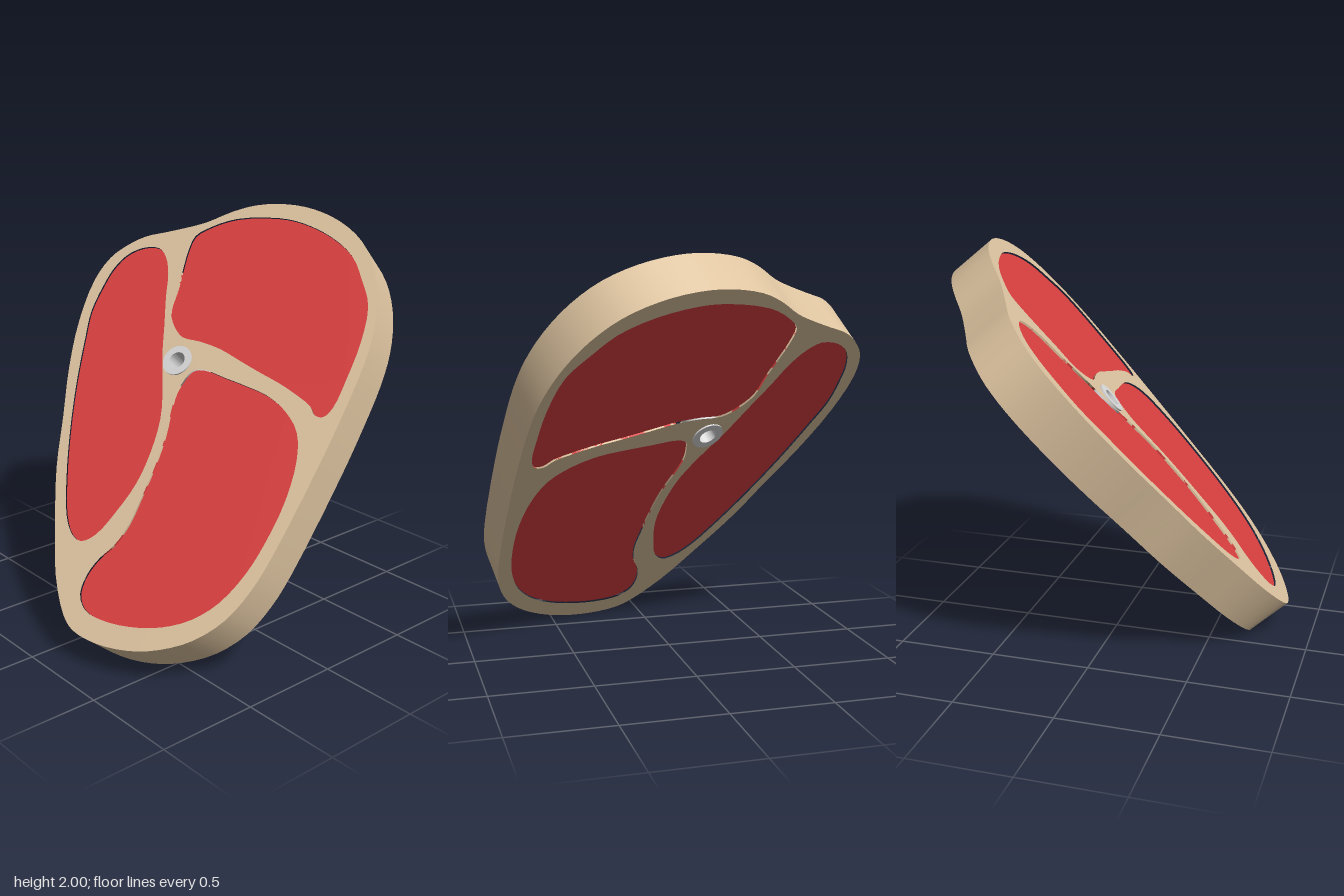
import * as THREE from 'three';
import { toCreasedNormals } from 'three/addons/utils/BufferGeometryUtils.js';

// The slab leans back: outlines are drawn in x/y, then sheared onto its tilted plane
const NORMAL = new THREE.Vector3(0.191, 0.64, 0.744).normalize();
const OFFSET = 0.793;
const THICK = 0.242;

const OUTLINE = [0, 2, 0.16, 1.99, 0.33, 1.95, 0.49, 1.88, 0.62, 1.78, 0.72, 1.66, 0.79, 1.53, 0.83, 1.4,
  0.86, 1.21, 0.88, 1.02, 0.9, 0.63, 0.89, 0.5, 0.85, 0.38, 0.76, 0.28, 0.63, 0.21, 0.49, 0.17,
  0.32, 0.155, 0.17, 0.17, 0.08, 0.21, -0.08, 0.34, -0.24, 0.52, -0.42, 0.74, -0.55, 0.94, -0.69, 1.15,
  -0.8, 1.36, -0.855, 1.55, -0.84, 1.66, -0.78, 1.73, -0.7, 1.78, -0.6, 1.81, -0.47, 1.85, -0.39, 1.88,
  -0.28, 1.94, -0.17, 1.98];

const MUSCLES = {
  upperMuscle: [-0.41, 1.81, -0.35, 1.86, -0.23, 1.91, 0, 1.935, 0.14, 1.925, 0.33, 1.88, 0.49, 1.81,
    0.6, 1.72, 0.7, 1.62, 0.76, 1.475, 0.79, 1.32, 0.8, 1.21, 0.78, 1.17, 0.735, 1.17, 0.69, 1.2,
    0.6, 1.23, 0.49, 1.26, 0.35, 1.29, 0.22, 1.32, 0.09, 1.35, -0.04, 1.365, -0.15, 1.37,
    -0.23, 1.41, -0.3, 1.475, -0.33, 1.565, -0.365, 1.65, -0.4, 1.74],
  sideMuscle: [-0.78, 1.53, -0.78, 1.61, -0.75, 1.68, -0.68, 1.725, -0.58, 1.735, -0.51, 1.7, -0.44, 1.63,
    -0.375, 1.53, -0.29, 1.41, -0.2, 1.28, -0.095, 1.15, -0.01, 1.025, 0.04, 0.89, 0.06, 0.76,
    0.04, 0.63, 0.005, 0.53, -0.05, 0.49, -0.12, 0.505, -0.21, 0.57, -0.33, 0.71, -0.455, 0.88,
    -0.59, 1.09, -0.7, 1.29, -0.76, 1.41],
  lowerMuscle: [-0.005, 1.19, 0.01, 1.24, 0.06, 1.255, 0.2, 1.24, 0.33, 1.225, 0.46, 1.205, 0.59, 1.16,
    0.7, 1.09, 0.77, 0.99, 0.82, 0.84, 0.835, 0.68, 0.825, 0.55, 0.78, 0.43, 0.7, 0.345, 0.58, 0.285,
    0.43, 0.25, 0.275, 0.24, 0.17, 0.255, 0.1, 0.305, 0.08, 0.38, 0.095, 0.45, 0.13, 0.51,
    0.145, 0.6, 0.13, 0.705, 0.105, 0.84, 0.07, 0.96, 0.02, 1.07, -0.005, 1.14],
};

// Smooth closed loop through x,y pairs
function loop(flat) {
  const pts = [];
  for (let i = 0; i < flat.length; i += 2) pts.push(new THREE.Vector3(flat[i], flat[i + 1], 0));
  const smooth = new THREE.CatmullRomCurve3(pts, true, 'centripetal').getPoints(pts.length * 3);
  return smooth.slice(0, -1).map((p) => new THREE.Vector2(p.x, p.y));
}

// A circle lying in the tilted plane, seen as an ellipse in x/y
function circle(radius) {
  const tilt = Math.atan2(-NORMAL.x, NORMAL.y);
  const curve = new THREE.EllipseCurve(-0.1, 1.27, radius, radius * NORMAL.z, 0, Math.PI * 2, false, tilt);
  return curve.getPoints(32).slice(0, -1);
}

// Extrude through the slab; raise is the height of both faces above the slab's faces
function slab(name, points, holes, raise, material) {
  const shape = new THREE.Shape(points);
  shape.holes = holes.map((h) => new THREE.Path(h));
  const geo = new THREE.ExtrudeGeometry(shape, { depth: THICK + raise * 2, bevelEnabled: false });
  geo.translate(0, 0, -THICK - raise);
  const tilt = new THREE.Matrix4().makeBasis(
    new THREE.Vector3(1, 0, -NORMAL.x / NORMAL.z),
    new THREE.Vector3(0, 1, -NORMAL.y / NORMAL.z),
    NORMAL,
  ).setPosition(0, 0, OFFSET / NORMAL.z);
  geo.applyMatrix4(tilt);
  const mesh = new THREE.Mesh(toCreasedNormals(geo, 0.6), material);
  mesh.name = name;
  return mesh;
}

export function createModel() {
  const fat = new THREE.MeshStandardMaterial({ color: 0xdec4a0 });
  fat.name = 'fat';
  const meat = new THREE.MeshStandardMaterial({ color: 0xdc4040 });
  meat.name = 'meat';
  const bone = new THREE.MeshStandardMaterial({ color: 0xd9d9d9 });
  bone.name = 'bone';

  const group = new THREE.Group();
  group.name = 'steak';

  // Fat body with openings for the muscles and the bone
  const muscles = Object.entries(MUSCLES).map(([name, flat]) => [name, loop(flat)]);
  group.add(slab('fatBody', loop(OUTLINE), [...muscles.map((m) => m[1]), circle(0.08)], 0, fat));

  // Slightly sunken muscles, visible on both faces
  for (const [name, points] of muscles) group.add(slab(name, points, [], -0.01, meat));

  // Hollow bone, slightly proud of both faces
  group.add(slab('boneRing', circle(0.08), [circle(0.044)], 0.008, bone));
  return group;
}
